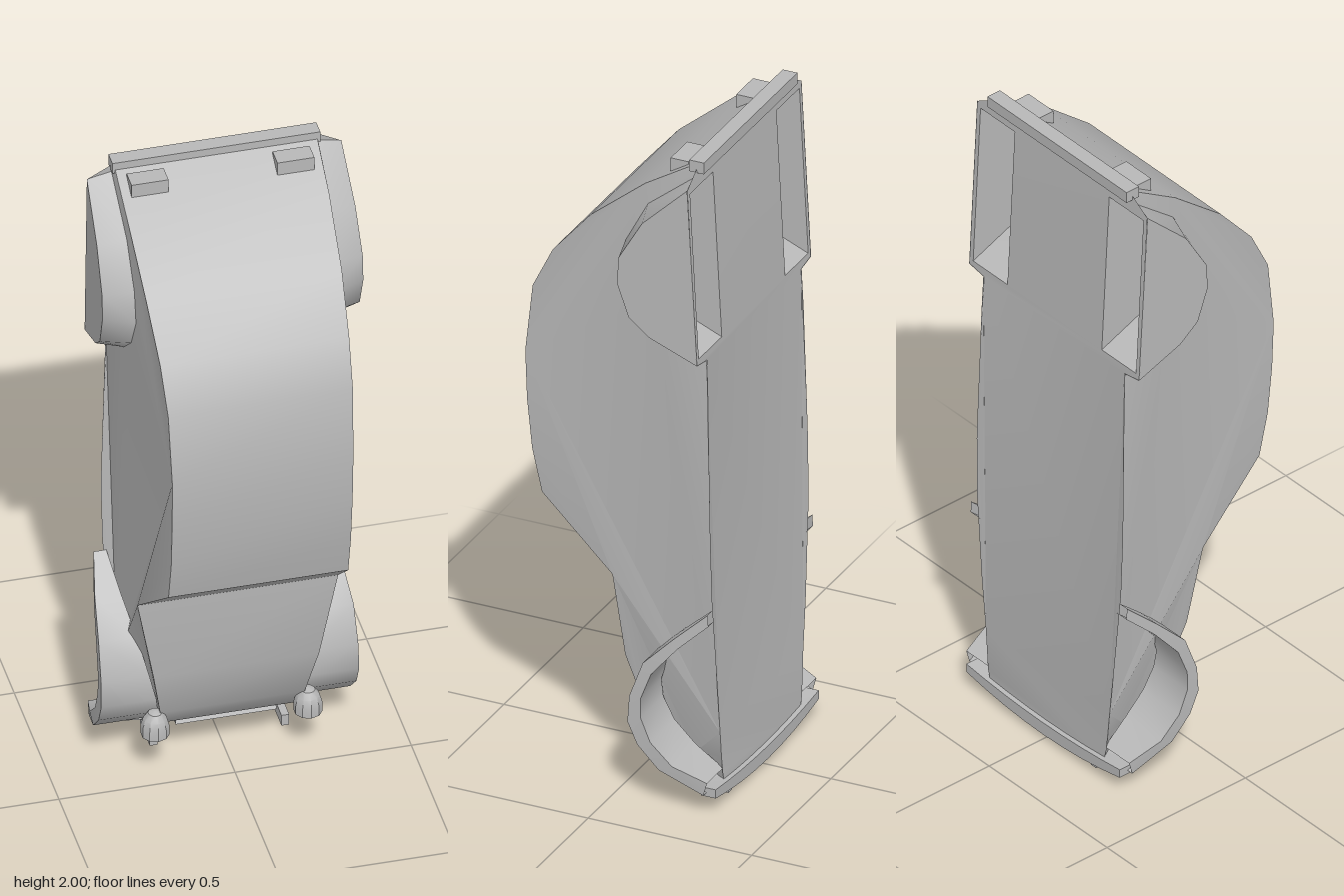
import * as THREE from 'three';
import { toCreasedNormals } from 'three/addons/utils/BufferGeometryUtils.js';

const grey = new THREE.MeshStandardMaterial({ color: 0xb8b8b8, side: THREE.DoubleSide });
grey.name = 'body grey';

// Body stations from nose to tail: y, upper z, upper half width, floor z, floor half width
const stations = [
  [0.055, -0.27, 0.16, -0.29, 0.24], [0.09, -0.17, 0.175, -0.29, 0.25],
  [0.14, -0.09, 0.19, -0.289, 0.255], [0.22, -0.03, 0.205, -0.288, 0.262],
  [0.38, 0.015, 0.235, -0.287, 0.28], [0.65, 0.03, 0.285, -0.283, 0.305],
  [0.84, 0.26, 0.255, -0.28, 0.31], [0.97, 0.29, 0.255, -0.277, 0.308],
  [1.12, 0.305, 0.256, -0.273, 0.305], [1.27, 0.31, 0.257, -0.27, 0.302],
  [1.48, 0.285, 0.262, -0.26, 0.298], [1.61, 0.22, 0.268, -0.253, 0.297],
  [1.75, 0.10, 0.278, -0.246, 0.297], [1.89, -0.07, 0.285, -0.239, 0.296],
  [1.98, -0.215, 0.287, -0.232, 0.29],
];

// Wheel arch outlines as [z, y], running from the tail towards the nose
const rearArch = [[-0.234, 1.955], [-0.08, 1.83], [-0.01, 1.70], [0, 1.60], [-0.045, 1.50], [-0.11, 1.44], [-0.265, 1.39]];
const rearSkin = [[-0.235, 1.94], [-0.10, 1.81], [-0.03, 1.69], [-0.025, 1.61], [-0.06, 1.51], [-0.12, 1.46], [-0.265, 1.40]];
const frontArch = [[-0.283, 0.615], [-0.19, 0.53], [-0.10, 0.44], [-0.06, 0.33], [-0.055, 0.25], [-0.085, 0.185], [-0.15, 0.12], [-0.277, 0.06]];
const frontInner = [[-0.285, 0.58], [-0.20, 0.50], [-0.125, 0.41], [-0.095, 0.33], [-0.095, 0.27], [-0.125, 0.20], [-0.19, 0.14], [-0.288, 0.10]];
const frontWidth = [0.33, 0.35, 0.362, 0.365, 0.366, 0.366, 0.365, 0.345];

function stationAt(y) {
  let i = 0;
  while (i < stations.length - 2 && stations[i + 1][0] < y) i++;
  const a = stations[i], b = stations[i + 1];
  const t = THREE.MathUtils.clamp((y - a[0]) / (b[0] - a[0]), 0, 1);
  return a.map((v, k) => v + (b[k] - v) * t);
}
const floorZ = (y) => stationAt(y)[3];
function sideX(z, y) {
  const [, zt, xt, zb, xb] = stationAt(y);
  return xb + (xt - xb) * THREE.MathUtils.clamp((z - zb) / (zt - zb), 0, 1);
}
const skinX = (z) => 0.36 + 0.01 * (z + 0.26) / 0.23;

function add(parent, name, geometry) {
  const mesh = new THREE.Mesh(toCreasedNormals(geometry, 0.6), grey);
  mesh.name = name;
  parent.add(mesh);
  return mesh;
}

// Strip of quads between two rows of points
function loft(a, b) {
  const g = new THREE.BufferGeometry();
  const index = [], n = a.length;
  for (let i = 0; i < n - 1; i++) index.push(i, n + i, n + i + 1, i, n + i + 1, i + 1);
  g.setAttribute('position', new THREE.Float32BufferAttribute([...a, ...b].flat(), 3));
  g.setIndex(index);
  g.computeVertexNormals();
  return g;
}

// Flat outline bent into place by a rule mapping (u, v) to [x, y, z]
function panel(outline, holes, rule) {
  const shape = new THREE.Shape(outline.map((p) => new THREE.Vector2(...p)));
  shape.holes = holes.map((h) => new THREE.Path(h.map((p) => new THREE.Vector2(...p))));
  const g = new THREE.ShapeGeometry(shape);
  const pos = g.attributes.position;
  for (let i = 0; i < pos.count; i++) pos.setXYZ(i, ...rule(pos.getX(i), pos.getY(i)));
  g.computeVertexNormals();
  return g;
}
const sidePanel = (outline, xRule) =>
  panel(outline.map(([z, y]) => [-z, y]), [], (u, y) => [xRule(-u, y), y, -u]);
const row = (arch, xRule) => arch.map(([z, y], i) => [xRule(z, y, i), y, z]);

function box(parent, name, size, position) {
  const m = add(parent, name, new THREE.BoxGeometry(...size));
  m.position.set(...position);
  return m;
}

export function createModel() {
  const model = new THREE.Group();
  model.name = 'carBody';

  // Hood, windscreen, roof and tail in one strip
  const top = (s) => stations.map(([y, z, x]) => [s * x, y, z]);
  add(model, 'roofAndHood', loft(top(-1), top(1)));

  // Nose and tail closing faces
  const endRow = (st, s) => [[s * st[4], st[0], st[3]], [s * st[2], st[0], st[1]]];
  const tail = stations[stations.length - 1];
  add(model, 'nosePanel', loft(endRow(stations[0], -1), endRow(stations[0], 1)));
  add(model, 'tailPanel', loft(endRow(tail, 1), endRow(tail, -1)));

  // Rear wheel well outline, shrunk inside the fender skin
  const well = rearSkin.map(([z, y], i) => {
    const wy = 1.67 + (y - 1.67) * 0.94;
    return [i === 0 || i === rearSkin.length - 1 ? floorZ(wy) : -0.25 + (z + 0.25) * 0.94, wy];
  });
  const wellTop = well[0][1], wellBottom = well[well.length - 1][1];

  // Floor with openings for the rear wells
  const edge = stations.filter((s) => s[0] < 1.38).map((s) => [s[4], s[0]]);
  edge.push([0.297, 1.39], [0.36, 1.40], [0.36, 1.94], [0.29, 1.98]);
  const mirrored = edge.map(([x, y]) => [-x, y]).reverse();
  const holes = [1, -1].map((s) => [[0.2, wellBottom], [0.345, wellBottom], [0.345, wellTop], [0.2, wellTop]]
    .map(([x, y]) => [s * x, y]));
  add(model, 'floor', panel([...edge, ...mirrored], holes, (u, y) => [-u, y, floorZ(y)]));

  // One half, repeated by mirroring
  const half = new THREE.Group();
  half.name = 'leftSide';
  const lower = stations.filter((s) => s[0] < 1.38).map((s) => [s[3], s[0]]).reverse();
  const sideOutline = [...stations.map((s) => [s[1], s[0]]), [tail[3], tail[0]], ...rearArch, ...lower];
  add(half, 'sidePanel', sidePanel(sideOutline, sideX));

  // Rear fender: sloped shoulder, closed skin and hollow well
  add(half, 'rearFenderShoulder', loft(row(rearSkin, skinX), row(rearArch, sideX)));
  add(half, 'rearFenderSkin', sidePanel(rearSkin, skinX));
  add(half, 'rearWellArch', loft(row(well, () => 0.2), row(well, () => 0.345)));
  add(half, 'rearWellInnerWall', sidePanel(well, () => 0.2));
  add(half, 'rearWellOuterWall', sidePanel(well, () => 0.345));

  // Front fender: open arch with a thick lip
  const inside = (z, y) => sideX(z, y) - 0.008;
  const out = (z, y, i) => frontWidth[i];
  add(half, 'frontFenderTop', loft(row(frontArch, out), row(frontArch, inside)));
  add(half, 'frontFenderLip', loft(row(frontInner, out), row(frontArch, out)));
  add(half, 'frontFenderUnderside', loft(row(frontInner, inside), row(frontInner, out)));

  // Headlamp, facing the nose
  const lampProfile = [[0, 0], [0.04, 0], [0.04, 0.03], [0.033, 0.055], [0.02, 0.073], [0, 0.08]];
  const lamp = add(half, 'headlamp', new THREE.LatheGeometry(lampProfile.map((p) => new THREE.Vector2(...p)), 10));
  lamp.position.set(0.217, 0.145, -0.04);

  // Tail lamp and bumper guard
  box(half, 'tailLamp', [0.105, 0.045, 0.055], [0.207, 1.95, -0.163]);
  box(half, 'bumperGuard', [0.022, 0.035, 0.1], [0.187, 0.0175, -0.225]);
  box(half, 'bumperGuardFoot', [0.022, 0.06, 0.035], [0.187, 0.03, -0.265]);

  const other = half.clone();
  other.name = 'rightSide';
  other.scale.x = -1;
  model.add(half, other);

  // Front bumper, bowed towards the nose
  const bow = new THREE.Shape();
  bow.moveTo(-0.325, 0.048);
  bow.quadraticCurveTo(0, -0.018, 0.325, 0.048);
  bow.lineTo(0.325, 0.075);
  bow.quadraticCurveTo(0, 0.035, -0.325, 0.075);
  const bumper = add(model, 'frontBumper',
    new THREE.ExtrudeGeometry(bow, { depth: 0.045, bevelEnabled: false, curveSegments: 8 }));
  bumper.position.z = -0.305;

  // Rear bumper
  box(model, 'rearBumper', [0.59, 0.035, 0.045], [0, 1.9825, -0.232]);

  // Grille surround lying on the nose
  const trapezoid = (w1, w2, h) => [[-w1, -h], [w1, -h], [w2, h], [-w2, h]].map((p) => new THREE.Vector2(...p));
  const frame = new THREE.Shape(trapezoid(0.125, 0.143, 0.06));
  frame.holes.push(new THREE.Path(trapezoid(0.115, 0.132, 0.048)));
  const grille = add(model, 'grilleSurround', new THREE.ExtrudeGeometry(frame, { depth: 0.012, bevelEnabled: false }));
  grille.position.set(0, 0.1, -0.158);
  grille.rotation.x = Math.atan2(0.1, 0.055);

  return model;
}
